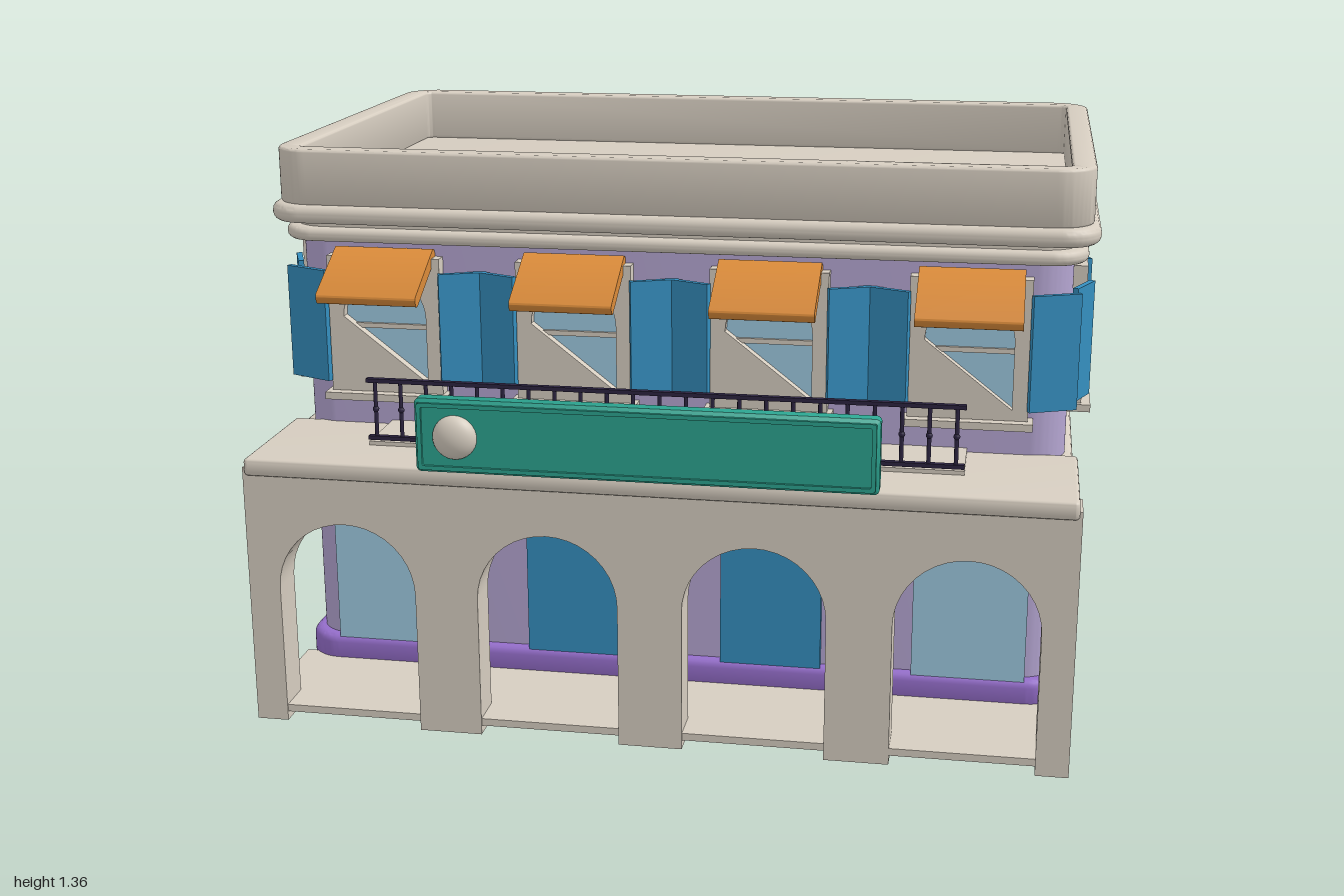
import * as THREE from 'three';
import { toCreasedNormals } from 'three/addons/utils/BufferGeometryUtils.js';

const paint = (name, color) => {
  const m = new THREE.MeshStandardMaterial({ color });
  m.name = name;
  return m;
};

export function createModel() {
  const stone = paint('stone', 0xd6cdc0);
  const wall = paint('lilacWall', 0xb5a6d2);
  const plinthPaint = paint('purplePlinth', 0x956ecb);
  const blue = paint('bluePaint', 0x358fbf);
  const glass = paint('glass', 0x9fcae2);
  const green = paint('greenSign', 0x2ca490);
  const orange = paint('orangeCanvas', 0xda8b3a);
  const iron = paint('darkIron', 0x2c2440);

  const model = new THREE.Group();
  model.name = 'arcadeBuilding';
  const CZ = -0.17; // centre of the main block in z

  const add = (parent, name, geo, mat, x = 0, y = 0, z = 0) => {
    const m = new THREE.Mesh(geo, mat);
    m.name = name;
    m.position.set(x, y, z);
    parent.add(m);
    return m;
  };
  const box = (parent, name, mat, w, h, d, x, y, z) =>
    add(parent, name, new THREE.BoxGeometry(w, h, d), mat, x, y, z);

  // Draws a rounded rectangle centred on the origin
  const roundRect = (p, w, h, r) => {
    const x = w / 2, y = h / 2, q = Math.PI / 2;
    p.moveTo(x, -y + r);
    p.absarc(x - r, y - r, r, 0, q);
    p.absarc(-x + r, y - r, r, q, 2 * q);
    p.absarc(-x + r, -y + r, r, 2 * q, 3 * q);
    p.absarc(x - r, -y + r, r, 3 * q, 4 * q);
    return p;
  };
  const extrude = (shape, depth, bevel = 0, segs = 4) => {
    const g = new THREE.ExtrudeGeometry(shape, {
      depth: depth - 2 * bevel, curveSegments: 10, bevelEnabled: bevel > 0,
      bevelSize: bevel, bevelThickness: bevel, bevelOffset: -bevel, bevelSegments: segs,
    });
    g.translate(0, 0, bevel);
    return toCreasedNormals(g, 0.6);
  };
  // Horizontal rounded slab around the main block, optionally hollow
  const slab = (name, mat, halfX, halfZ, y0, y1, bevel, hole) => {
    const s = roundRect(new THREE.Shape(), halfX * 2, halfZ * 2, 0.09);
    if (hole) s.holes.push(roundRect(new THREE.Path(), hole[0] * 2, hole[1] * 2, 0.02));
    const g = extrude(s, y1 - y0, bevel);
    g.rotateX(-Math.PI / 2);
    return add(model, name, g, mat, 0, y0, CZ);
  };

  // Main block, plinth, string courses, cornice and roof parapet
  slab('mainBlock', wall, 0.94, 0.545, 0.03, 1.19, 0);
  slab('plinth', plinthPaint, 0.963, 0.568, 0.013, 0.1, 0.02);
  slab('stringCourse', stone, 0.96, 0.565, 0.622, 0.657, 0.016);
  slab('lowerCornice', stone, 0.972, 0.577, 1.131, 1.166, 0.016);
  slab('corniceNeck', stone, 0.95, 0.555, 1.16, 1.2, 0);
  slab('upperCornice', stone, 0.997, 0.602, 1.178, 1.224, 0.021);
  slab('parapet', stone, 0.98, 0.586, 1.222, 1.358, 0.008, [0.922, 0.528]);

  // Upper window facing +z; k widens it, shutters slant in toward the wall
  const makeWindow = (k, arched) => {
    const w = new THREE.Group();
    w.name = 'window';
    const ox = 0.125 * k, ix = 0.092 * k;
    const frame = new THREE.Shape();
    frame.moveTo(-ox, 0.762);
    frame.lineTo(ox, 0.762);
    frame.lineTo(ox, 1.1);
    frame.lineTo(-ox, 1.1);
    const hole = new THREE.Path();
    hole.moveTo(-ix, 0.788);
    if (arched) {
      hole.absellipse(0, 0.95, ix, 0.105, Math.PI, 0, true, 0);
    } else {
      hole.lineTo(-ix, 1.066);
      hole.lineTo(ix, 1.066);
    }
    hole.lineTo(ix, 0.788);
    frame.holes.push(hole);
    add(w, 'windowFrame', extrude(frame, 0.035), stone);
    box(w, 'windowPane', glass, 0.2 * k, 0.29, 0.008, 0, 0.927, 0.006);
    box(w, 'sashRail', stone, 0.184 * k, 0.012, 0.014, 0, 0.925, 0.011);
    box(w, 'windowSill', stone, 0.272 * k, 0.018, 0.057, 0, 0.752, 0.0285);
    for (const s of [-1, 1]) {
      const hinge = new THREE.Group();
      hinge.name = 'shutter';
      hinge.position.set(s * 0.125 * k, 0.927, 0.046);
      hinge.rotation.y = s * 0.4;
      box(hinge, 'shutterPanel', blue, 0.105 * k, 0.278, 0.014, s * 0.0525 * k, 0, 0);
      w.add(hinge);
    }
    return w;
  };
  const placeWindow = (x, z, turn, k, arched) => {
    const w = makeWindow(k, arched);
    w.position.set(x, 0, z);
    w.rotation.y = turn;
    model.add(w);
  };
  const bays = [-0.707, -0.236, 0.236, 0.707];
  for (const x of bays) {
    placeWindow(x, 0.375, 0, 1.13, true);
    placeWindow(x, -0.715, Math.PI, 1.13, false);
  }
  for (const z of [0.104, -0.444]) {
    placeWindow(0.94, z, Math.PI / 2, 1, false);
    placeWindow(-0.94, z, -Math.PI / 2, 1, false);
  }

  // Sloping awnings with rounded edges over the front windows
  for (const x of bays) {
    const side = roundRect(new THREE.Shape(), 0.19, 0.03, 0.012);
    const g = extrude(side, 0.245);
    g.translate(0, 0, -0.1225);
    g.rotateY(-Math.PI / 2);
    const a = add(model, 'awning', g, orange, x, 1.065, 0.461);
    a.rotation.x = 0.51;
  }

  // Shop windows and doors behind the arcade
  for (const s of [-1, 1]) {
    box(model, 'shopWindow', glass, 0.276, 0.345, 0.02, s * 0.732, 0.265, 0.382);
    box(model, 'door', blue, 0.25, 0.345, 0.02, s * 0.245, 0.265, 0.382);
  }

  // Arcade wall: one outline with four arches open at the bottom
  const arcade = new THREE.Shape();
  const arches = [-0.732, -0.244, 0.244, 0.732];
  const R = 0.168, spring = 0.347;
  arcade.moveTo(-0.977, 0);
  for (const x of arches) {
    arcade.lineTo(x - R, 0);
    arcade.absarc(x, spring, R, Math.PI, 0, true);
    arcade.lineTo(x + R, 0);
  }
  arcade.lineTo(0.977, 0);
  arcade.lineTo(0.977, 0.645);
  arcade.lineTo(-0.977, 0.645);
  add(model, 'arcadeWall', extrude(arcade, 0.092), stone, 0, 0, 0.606);

  // Arcade floor, balcony slab and ceiling lamps
  box(model, 'arcadeFloor', stone, 1.94, 0.018, 0.33, 0, 0.031, 0.53);
  const balcony = extrude(roundRect(new THREE.Shape(), 1.94, 0.352, 0.01), 0.043, 0.01);
  balcony.rotateX(-Math.PI / 2);
  add(model, 'balconySlab', balcony, stone, 0, 0.627, 0.534);
  box(model, 'balconyStep', stone, 1.42, 0.012, 0.19, 0, 0.674, 0.46);
  for (const x of arches)
    add(model, 'ceilingLamp', new THREE.CylinderGeometry(0.018, 0.015, 0.035, 16), stone, x, 0.611, 0.517);

  // Iron balcony railing
  const railing = new THREE.Group();
  railing.name = 'railing';
  railing.position.z = 0.553;
  model.add(railing);
  for (const y of [0.69, 0.832]) box(railing, 'rail', iron, 1.42, 0.01, 0.015, 0, y, 0);
  const post = new THREE.CylinderGeometry(0.005, 0.005, 0.145, 8);
  const bead = new THREE.SphereGeometry(0.008, 10, 6);
  for (let i = 0; i < 23; i++) {
    const x = -0.69 + (i * 1.38) / 22;
    add(railing, 'baluster', post, iron, x, 0.761, 0);
    add(railing, 'balusterBead', bead, iron, x, 0.761, 0);
  }

  // Blank sign board with raised rim and round medallion
  const sign = new THREE.Group();
  sign.name = 'sign';
  sign.position.set(-0.003, 0.76, 0.697);
  model.add(sign);
  const W = 1.065, H = 0.175;
  add(sign, 'signBoard', extrude(roundRect(new THREE.Shape(), W, H, 0.012), 0.046, 0.008, 1), green);
  const rim = roundRect(new THREE.Shape(), W - 0.016, H - 0.016, 0.008);
  rim.holes.push(roundRect(new THREE.Path(), W - 0.036, H - 0.036, 0.004));
  add(sign, 'signRim', extrude(rim, 0.008), green, 0, 0, 0.045);
  const medal = add(sign, 'medallion', new THREE.SphereGeometry(0.052, 28, 16), stone, -0.437, 0, 0.046);
  medal.scale.z = 0.62;

  return model;
}
